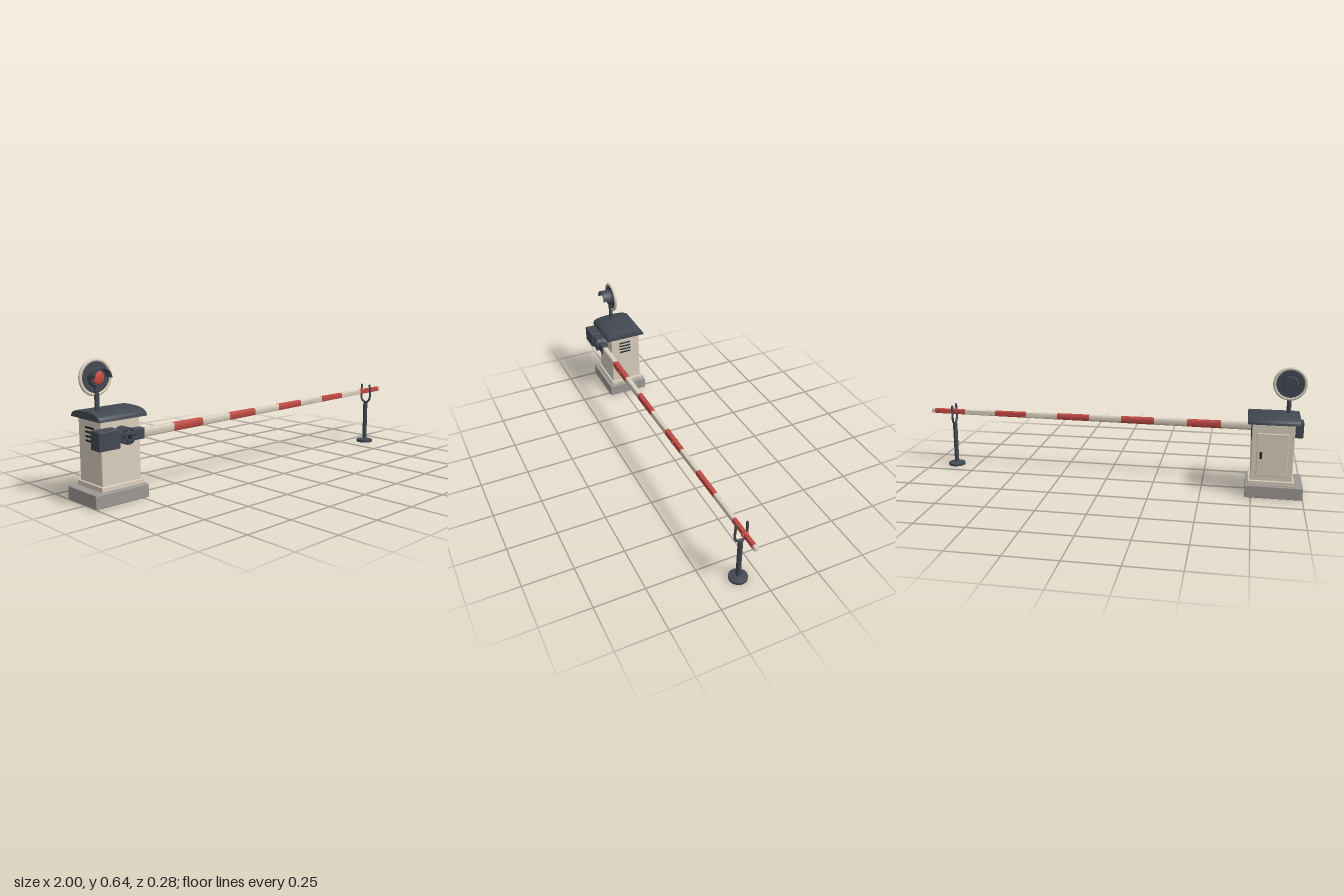
import * as THREE from 'three';
import { toCreasedNormals } from 'three/addons/utils/BufferGeometryUtils.js';
import { RoundedBoxGeometry } from 'three/addons/geometries/RoundedBoxGeometry.js';

const mat = (name, color, side = THREE.FrontSide) => {
  const m = new THREE.MeshStandardMaterial({ color, side });
  m.name = name;
  return m;
};

export function createModel() {
  const root = new THREE.Group();
  root.name = 'levelCrossingBarrier';
  const cream = mat('cream', 0xd9cfbe);
  const stone = mat('stoneGrey', 0x9d9894);
  const dark = mat('slate', 0x434952, THREE.DoubleSide);
  const black = mat('black', 0x22262b);
  const red = mat('red', 0xc04a45);
  const lensRed = mat('lensRed', 0xcf4a40);

  const add = (name, geo, material, x = 0, y = 0, z = 0, parent = root) => {
    const m = new THREE.Mesh(geo, material);
    m.name = name;
    m.position.set(x, y, z);
    parent.add(m);
    return m;
  };
  const rbox = (w, h, d, r = 0.004) => new RoundedBoxGeometry(w, h, d, 2, r);
  // cylinder whose axis runs along z, r1 at the front
  const zCyl = (r1, r2, len, n = 32) => new THREE.CylinderGeometry(r1, r2, len, n).rotateX(Math.PI / 2);

  // ---- Cabinet ----
  const cx = -0.845, cz = -0.027;
  add('foundation', rbox(0.28, 0.063, 0.224), stone, -0.86, 0.0315, -0.025);
  add('plinth', rbox(0.222, 0.024, 0.194, 0.003), cream, cx, 0.074, cz);
  add('cabinetBody', rbox(0.204, 0.3, 0.174, 0.004), cream, cx, 0.23, cz);

  // arched roof, extruded along x
  const roofShape = new THREE.Shape();
  roofShape.moveTo(-0.108, 0.003);
  roofShape.lineTo(0.108, 0.003);
  roofShape.bezierCurveTo(0.108, 0.022, 0.07, 0.031, 0.025, 0.032);
  roofShape.lineTo(-0.025, 0.032);
  roofShape.bezierCurveTo(-0.07, 0.031, -0.108, 0.022, -0.108, 0.003);
  const roofGeo = new THREE.ExtrudeGeometry(roofShape, {
    depth: 0.242, bevelEnabled: true, bevelSize: 0.004, bevelThickness: 0.004, bevelSegments: 2, curveSegments: 14,
  }).translate(0, 0, -0.121).rotateY(Math.PI / 2);
  add('roof', toCreasedNormals(roofGeo, 0.6), dark, cx, 0.375, -0.025);

  // louvres on both sides
  for (const s of [-1, 1]) {
    for (let i = 0; i < 4; i++) {
      add('louvre', rbox(0.006, 0.009, 0.068, 0.0028), black, cx + s * 0.103, 0.335 - i * 0.02, -0.024);
    }
  }
  // rear door with handle and hinges
  add('rearDoor', rbox(0.15, 0.216, 0.01, 0.003), cream, cx, 0.219, -0.117);
  add('doorHandle', rbox(0.012, 0.034, 0.006, 0.002), black, -0.79, 0.218, -0.128);
  add('handleStem', zCyl(0.004, 0.004, 0.008, 12), black, -0.79, 0.218, -0.123);

  // ---- Signal lamp ----
  const lamp = new THREE.Group();
  lamp.name = 'signalLamp';
  lamp.position.set(-0.915, 0.555, -0.016);
  root.add(lamp);
  add('lampPost', new THREE.CylinderGeometry(0.011, 0.011, 0.13, 20), dark, -0.915, 0.465, -0.01);
  add('lampRim', new THREE.TorusGeometry(0.075, 0.008, 14, 48), cream, 0, 0, 0, lamp);
  add('lampDisc', zCyl(0.074, 0.074, 0.008, 48), dark, 0, 0, 0, lamp);
  add('lampBack', zCyl(0.041, 0.036, 0.014), dark, 0, 0, -0.008, lamp);
  add('lampHousing', zCyl(0.038, 0.044, 0.022), dark, 0, 0, 0.012, lamp);
  const lensGeo = new THREE.SphereGeometry(0.03, 28, 10, 0, Math.PI * 2, 0, Math.PI / 2)
    .rotateX(Math.PI / 2).scale(1, 1, 0.3);
  add('lens', lensGeo, lensRed, 0, 0, 0.023, lamp);
  // half-round visor
  const visor = new THREE.Shape();
  visor.absarc(0, 0, 0.046, 0, Math.PI, false);
  visor.absarc(0, 0, 0.041, Math.PI, 0, true);
  const visorGeo = new THREE.ExtrudeGeometry(visor, { depth: 0.046, bevelEnabled: false, curveSegments: 24 });
  add('visor', toCreasedNormals(visorGeo, 0.6), dark, 0, 0, 0.016, lamp);

  // ---- Boom ----
  const ay = 0.305, az = 0.095;
  const taper = (x) => 1 - 0.36 * (x + 0.76) / 1.74;
  const section = new THREE.Shape();
  const a = 0.015, b = 0.02, r = 0.007;
  section.moveTo(-a + r, -b);
  section.lineTo(a - r, -b);
  section.absarc(a - r, -b + r, r, -Math.PI / 2, 0, false);
  section.absarc(a - r, b - r, r, 0, Math.PI / 2, false);
  section.absarc(-a + r, b - r, r, Math.PI / 2, Math.PI, false);
  section.absarc(-a + r, -b + r, r, Math.PI, Math.PI * 1.5, false);
  // one tapered stretch of boom between x0 and x1
  const boomPiece = (x0, x1) => {
    const g = new THREE.ExtrudeGeometry(section, { depth: x1 - x0, bevelEnabled: false, curveSegments: 5 })
      .rotateY(Math.PI / 2).translate(x0, 0, 0);
    const p = g.attributes.position;
    for (let i = 0; i < p.count; i++) {
      const k = taper(p.getX(i));
      p.setY(i, p.getY(i) * k);
      p.setZ(i, p.getZ(i) * k);
    }
    g.computeVertexNormals();
    return toCreasedNormals(g, 0.6);
  };
  const step = 0.174;
  for (let i = 0; i < 10; i++) {
    const x0 = -0.76 + i * step;
    add(i % 2 ? 'redStripe' : 'creamStripe', boomPiece(x0, x0 + step), i % 2 ? red : cream, 0, ay, az);
  }
  add('boomTip', rbox(0.024, 0.024, 0.019, 0.005), cream, 0.988, ay, az);

  // reflectors on both faces
  for (const x of [-0.5, 0.2, 0.9]) {
    for (const s of [-1, 1]) {
      add('reflector', zCyl(0.01, 0.01, 0.006, 20), lensRed, x, ay, az + s * (a * taper(x) + 0.001));
    }
  }

  // ---- Pivot and counterweight ----
  add('boomSleeve', rbox(0.145, 0.05, 0.038, 0.004), dark, -0.828, ay, az);
  add('counterweight', rbox(0.107, 0.084, 0.068, 0.004), dark, -0.9465, 0.302, 0.094);
  add('pivotHub', zCyl(0.038, 0.038, 0.064), dark, -0.845, ay, 0.088);
  add('pivotCap', zCyl(0.02, 0.024, 0.008, 24), dark, -0.845, ay, 0.123);
  add('pivotBolt', zCyl(0.011, 0.011, 0.01, 6), black, -0.845, ay, 0.129);
  for (let i = 0; i < 6; i++) {
    const t = i * Math.PI / 3;
    add('hubBolt', zCyl(0.004, 0.004, 0.005, 8), black,
      -0.845 + Math.cos(t) * 0.03, ay + Math.sin(t) * 0.03, 0.121);
  }

  // ---- Rest post with fork ----
  const px = 0.87;
  const foot = [[0, 0], [0.045, 0], [0.045, 0.012], [0.014, 0.02], [0, 0.02]].map(([u, v]) => new THREE.Vector2(u, v));
  add('restFoot', toCreasedNormals(new THREE.LatheGeometry(foot, 32), 0.5), dark, px, 0, az);
  add('restPost', new THREE.CylinderGeometry(0.012, 0.012, 0.225, 20), dark, px, 0.125, az);
  const forkPath = new THREE.CatmullRomCurve3([
    [0.338, -0.028], [0.3, -0.03], [0.265, -0.03], [0.246, -0.02], [0.237, 0],
    [0.246, 0.02], [0.265, 0.03], [0.3, 0.03], [0.338, 0.028],
  ].map(([y, z]) => new THREE.Vector3(0, y, z)));
  add('restFork', new THREE.TubeGeometry(forkPath, 48, 0.006, 10), dark, px, 0, az);
  for (const s of [-1, 1]) add('forkTip', new THREE.SphereGeometry(0.0062, 12, 8), dark, px, 0.338, az + s * 0.028);

  return root;
}
